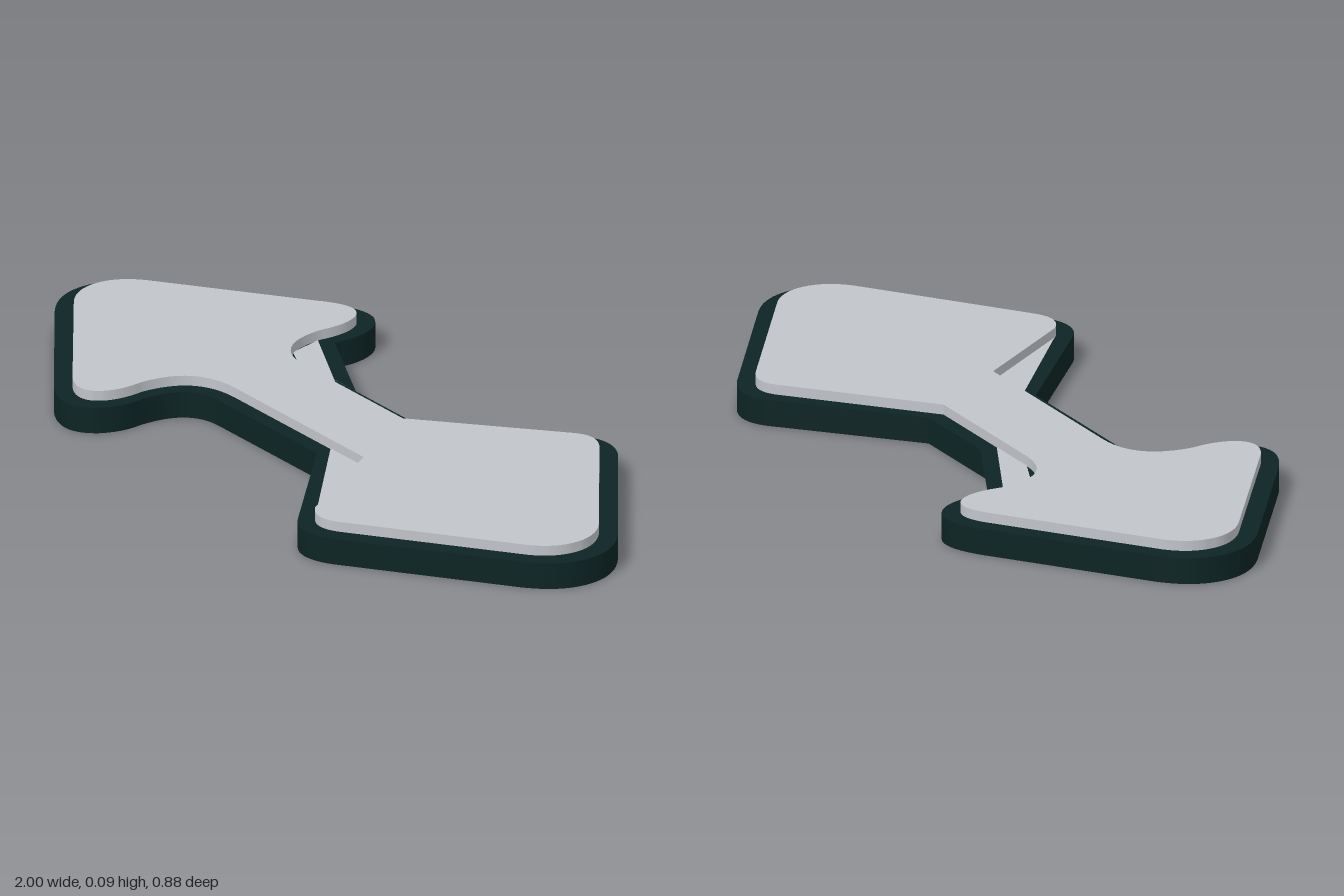
import * as THREE from 'three';
import { toCreasedNormals } from 'three/addons/utils/BufferGeometryUtils.js';

// Outline of the double-headed plate in (x, z). Each row is one segment:
// [x, z] is a line, [cx, cz, x, z] a quadratic curve, six numbers a cubic curve.
function outline(start, front) {
  const shape = new THREE.Shape();
  shape.moveTo(...start);
  const add = (s) => {
    if (s.length === 2) shape.lineTo(...s);
    else if (s.length === 4) shape.quadraticCurveTo(...s);
    else shape.bezierCurveTo(...s);
  };
  front.forEach(add);

  // Retrace the same half backwards with z mirrored
  const ends = [start, ...front.map((s) => s.slice(-2))];
  for (let i = front.length - 1; i >= 0; i--) {
    const s = front[i];
    const back = [];
    for (let k = s.length - 4; k >= 0; k -= 2) back.push(s[k], -s[k + 1]);
    back.push(ends[i][0], -ends[i][1]);
    add(back);
  }
  return shape;
}

// Lays an extruded outline flat between two heights
function plate(shape, bottom, top) {
  const geo = new THREE.ExtrudeGeometry(shape, { depth: top - bottom, bevelEnabled: false, curveSegments: 12 });
  geo.rotateX(Math.PI / 2);
  geo.translate(0, top, 0);
  return toCreasedNormals(geo, 0.6);
}

// Flat sheet facing up at a given height
function sheet(points, y) {
  const geo = new THREE.ShapeGeometry(new THREE.Shape(points.map(([x, z]) => new THREE.Vector2(x, -z))));
  geo.rotateX(-Math.PI / 2);
  geo.translate(0, y, 0);
  return geo;
}

export function createModel() {
  const group = new THREE.Group();
  const dark = new THREE.MeshStandardMaterial({ color: 0x0d2424 });
  dark.name = 'darkGreen';
  const light = new THREE.MeshStandardMaterial({ color: 0xc1c4c9, side: THREE.DoubleSide });
  light.name = 'lightGrey';

  const add = (name, geometry, material) => {
    const mesh = new THREE.Mesh(geometry, material);
    mesh.name = name;
    group.add(mesh);
  };

  // Dark base, traced along the front from the left tip to the right tip
  const base = outline([-1, 0], [
    [-1, 0.08, -0.92, 0.142],
    [-0.58, 0.395],
    [-0.46, 0.485, -0.40, 0.40],
    [-0.37, 0.35, -0.38, 0.29],
    [-0.385, 0.145, -0.27, 0.145],
    [0.12, 0.145],
    [0.40, 0.405],
    [0.465, 0.47, 0.55, 0.415],
    [0.92, 0.142],
    [1, 0.08, 1, 0],
  ]);
  add('base', plate(base, 0, 0.065), dark);

  // Raised light face, with a notch beside the right head at the front
  const face = outline([-0.95, 0], [
    [-0.95, 0.06, -0.895, 0.105],
    [-0.56, 0.355],
    [-0.47, 0.43, -0.43, 0.37],
    [-0.405, 0.33, -0.415, 0.26],
    [-0.41, 0.105, -0.26, 0.105],
    [0.12, 0.105],
    [0.42, 0.37],
    [0.47, 0.42, 0.53, 0.375],
    [0.895, 0.105],
    [0.95, 0.06, 0.95, 0],
  ]);
  const notch = new THREE.LineCurve(new THREE.Vector2(0.12, 0.105), new THREE.Vector2(0.25, 0.105));
  const diagonal = new THREE.LineCurve(new THREE.Vector2(0.25, 0.105), new THREE.Vector2(0.42, 0.37));
  face.curves.splice(6, 1, notch, diagonal);
  add('raisedFace', plate(face, 0.065, 0.09), light);

  // Low web in the front notch
  add('frontWeb', sheet([[0.12, 0.105], [0.25, 0.105], [0.42, 0.37]], 0.067), light);

  // Low webs across the pocket behind the left head
  add('backWebEdge', sheet([[-0.39, -0.28], [-0.38, -0.15], [-0.12, -0.145]], 0.065), dark);
  add('backWeb', sheet([[-0.413, -0.25], [-0.39, -0.16], [-0.27, -0.106], [-0.13, -0.106]], 0.067), light);

  return group;
}
